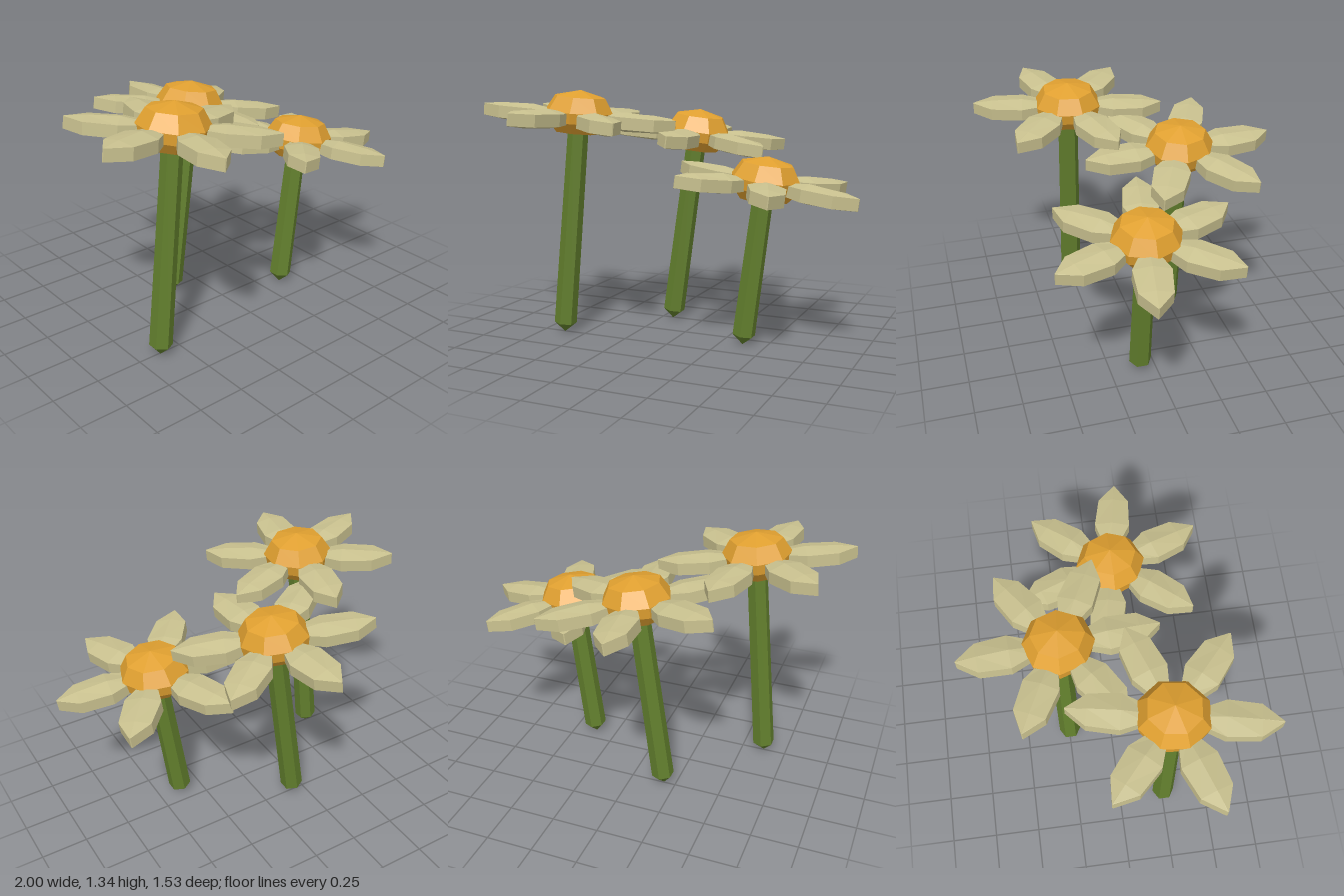
import * as THREE from 'three';

const flat = (name, color) => {
  const m = new THREE.MeshStandardMaterial({ color, flatShading: true });
  m.name = name;
  return m;
};

const lathe = (profile, sides) =>
  new THREE.LatheGeometry(profile.map(([r, y]) => new THREE.Vector2(r, y)), sides);

// Petal along +x: six-sided cross-sections [x, half width, edge height, ridge height]
function petalGeometry() {
  const stations = [
    [0.13, 0.045, 0.028, 0.034],
    [0.25, 0.095, 0.032, 0.052],
    [0.415, 0.083, 0.032, 0.045],
    [0.52, 0.003, 0.031, 0.032],
  ];
  const pos = [], idx = [], n = 6;
  for (const [x, w, e, h] of stations) {
    for (const [y, z] of [[h, 0], [e, w], [-e, w], [-h, 0], [-e, -w], [e, -w]]) pos.push(x, y, z);
  }
  const last = (stations.length - 1) * n;
  for (let s = 0; s < last; s += n) {
    for (let i = 0; i < n; i++) {
      const j = (i + 1) % n;
      idx.push(s + i, s + j, s + n + j, s + i, s + n + j, s + n + i);
    }
  }
  // End caps
  for (let i = 1; i < n - 1; i++) {
    idx.push(0, i + 1, i, last, last + i, last + i + 1);
  }
  const g = new THREE.BufferGeometry();
  g.setAttribute('position', new THREE.Float32BufferAttribute(pos, 3));
  g.setIndex(idx);
  const out = g.toNonIndexed();
  out.computeVertexNormals();
  return out;
}

export function createModel() {
  const green = flat('stemGreen', 0x627f2d);
  const gold = flat('headGold', 0xe0a030);
  const cream = flat('petalCream', 0xc8c08e);
  const rad = THREE.MathUtils.degToRad;

  const petalGeo = petalGeometry();
  // Head profile, measured down from its top
  const headGeo = lathe([[0, -0.235], [0.13, -0.225], [0.178, -0.17], [0.186, -0.115], [0.138, -0.035], [0, 0]], 8);

  const model = new THREE.Group();
  model.name = 'flowers';

  function addFlower(name, x, z, height, lean, petalTurn, headTurn) {
    const flower = new THREE.Group();
    flower.name = name;
    flower.position.set(x, 0, z);
    flower.rotation.z = -rad(lean);

    // Six-sided stem with a pointed foot
    const stem = new THREE.Mesh(lathe([[0, 0.003], [0.061, 0.058], [0.055, height - 0.2]], 6), green);
    stem.name = 'stem';
    flower.add(stem);

    const head = new THREE.Mesh(headGeo, gold);
    head.name = 'flowerHead';
    head.position.y = height;
    head.rotation.y = rad(headTurn);
    flower.add(head);

    // Ring of six petals
    for (let i = 0; i < 6; i++) {
      const petal = new THREE.Mesh(petalGeo, cream);
      petal.name = 'petal' + (i + 1);
      petal.position.y = height - 0.148;
      petal.rotation.y = rad(petalTurn + i * 60);
      flower.add(petal);
    }
    model.add(flower);
  }

  addFlower('rightFlower', -0.625, 0.255, 1.352, 5.5, 18.5, 15);
  addFlower('backFlower', -0.185, -0.245, 1.247, 8, 34.5, 42);
  addFlower('leftFlower', 0.37, 0.085, 1.022, 7.4, -10, 1);
  return model;
}
